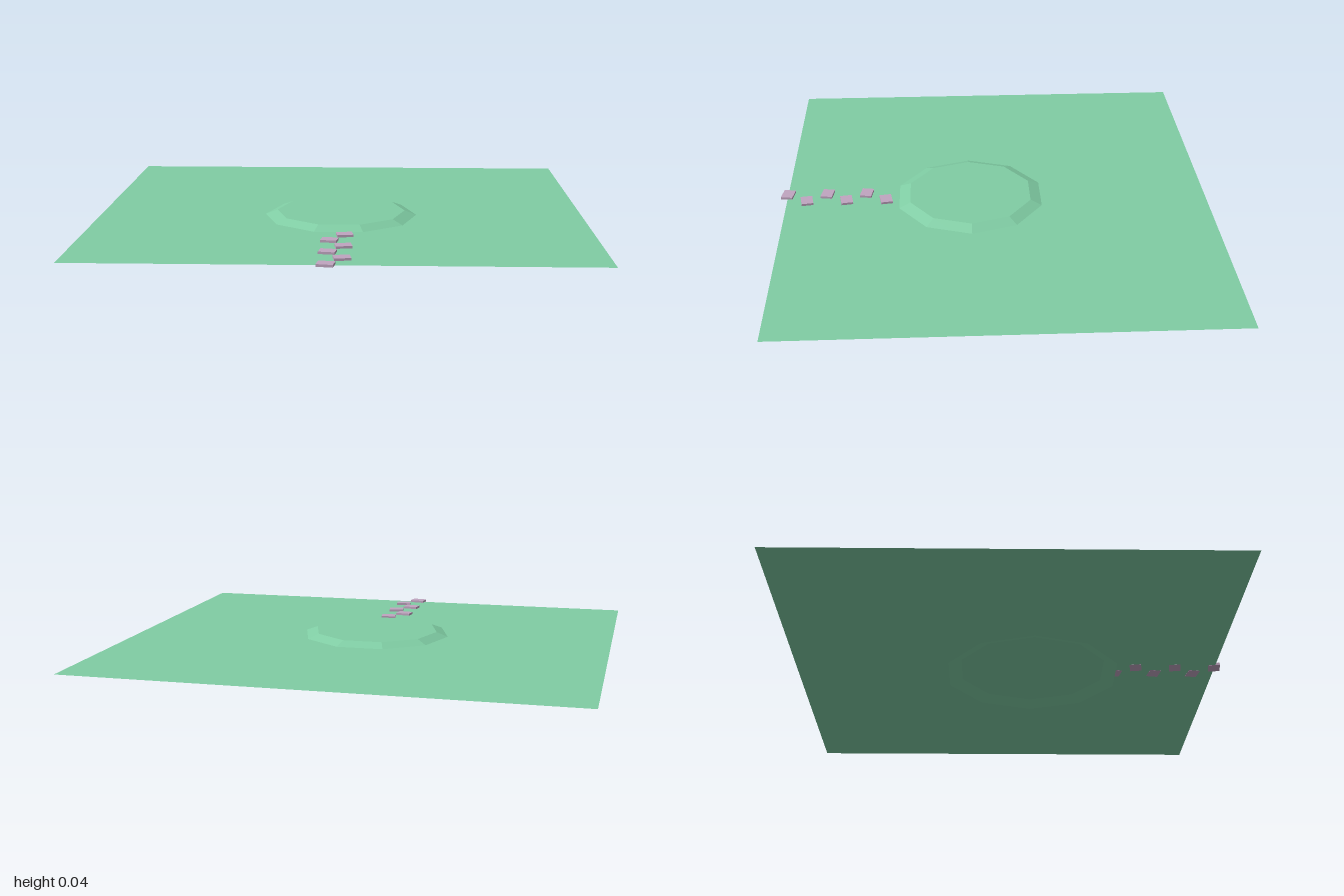
import * as THREE from 'three';

export function createModel() {
  const model = new THREE.Group();
  const grass = new THREE.MeshStandardMaterial({ color: 0x80cda4, side: THREE.DoubleSide, flatShading: true });
  grass.name = 'grass green';
  const stone = new THREE.MeshStandardMaterial({ color: 0xc0a5c0, flatShading: true });
  stone.name = 'mauve stone';
  const groundY = 0.0215;

  // Flat sheet of lawn
  const ground = new THREE.Mesh(new THREE.PlaneGeometry(2, 1.77), grass);
  ground.name = 'ground';
  ground.rotation.x = -Math.PI / 2;
  ground.position.set(0, groundY, -0.016);
  model.add(ground);

  // Ten-sided mound, open underneath, with its skirt sunk through the lawn
  const profile = [[0.37, 0], [0.265, 0.04], [0, 0.04]].map(([r, y]) => new THREE.Vector2(r, y));
  const mound = new THREE.Mesh(new THREE.LatheGeometry(profile, 10, Math.PI / 2), grass);
  mound.name = 'mound';
  mound.position.z = 0.097;
  model.add(mound);

  // Stepping stones, alternating left and right of the path
  const path = new THREE.Group();
  path.name = 'steppingStones';
  const slab = new THREE.BoxGeometry(0.063, 0.01, 0.049);
  for (let i = 0; i < 6; i++) {
    const side = i % 2 ? -1 : 1;
    const step = new THREE.Mesh(slab, stone);
    step.name = 'steppingStone' + (i + 1);
    step.position.set(-0.002 + side * 0.028, groundY + 0.0042, 0.452 + i * 0.0832);
    step.rotation.y = side * 0.16;
    path.add(step);
  }
  model.add(path);

  return model;
}
